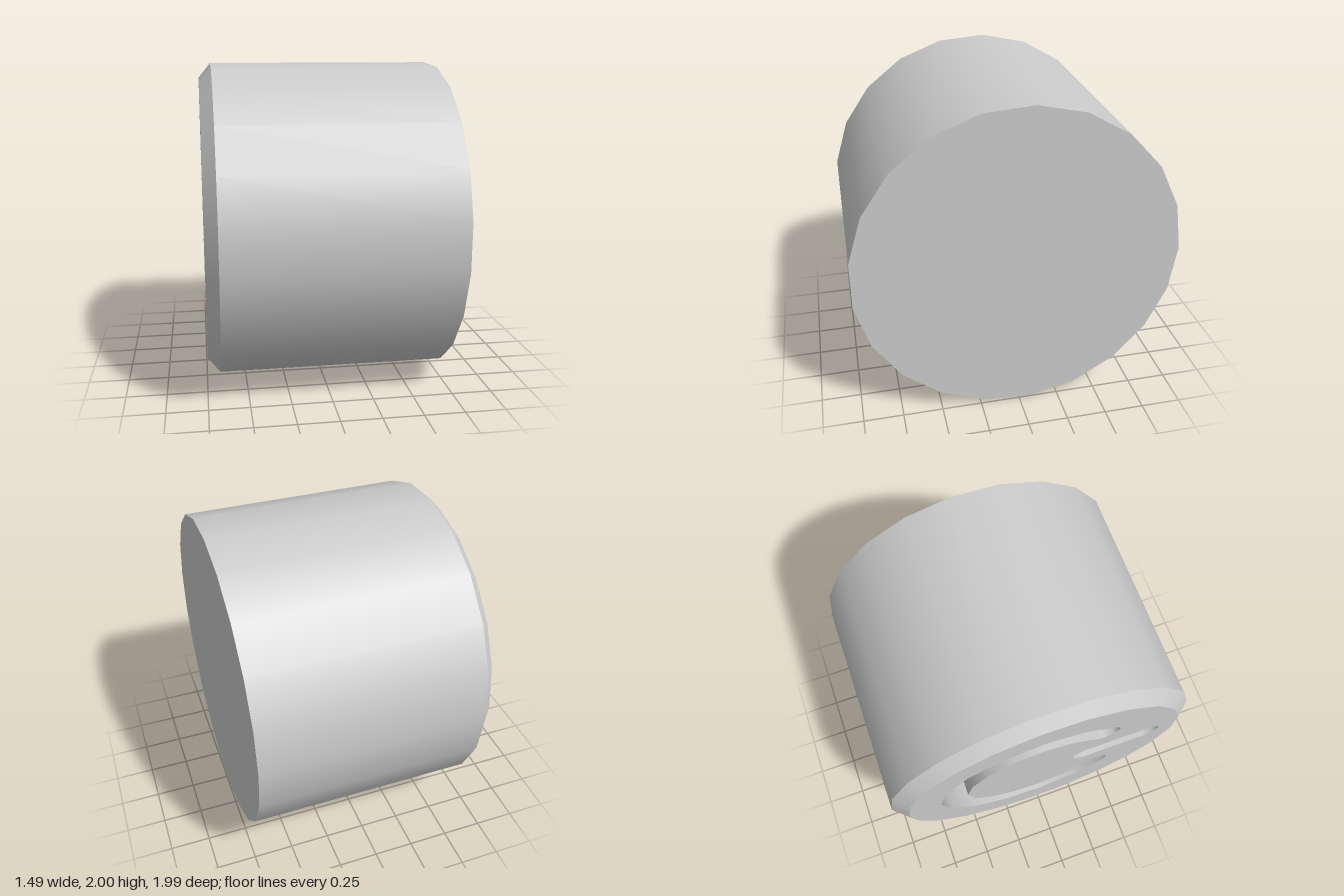
import * as THREE from 'three';
import { toCreasedNormals } from 'three/addons/utils/BufferGeometryUtils.js';

const SIDES = 21, R = 1.003, FACE_R = 0.912;
const BACK = -0.745, SHOULDER = 0.67, FRONT = 0.745, DEPTH = 0.25;

// Points along an arc, leaving out the last one so arcs can be chained
function arc(cx, cy, r, from, to, n) {
  return Array.from({ length: n }, (_, i) => {
    const a = from + (to - from) * i / n;
    return new THREE.Vector2(cx + r * Math.cos(a), cy + r * Math.sin(a));
  });
}

// Open ring with rounded ends
function ringOutline(cx, cy, r, half, gap) {
  const end = 2 * Math.PI - gap;
  const cap = (a, start) => arc(cx + r * Math.cos(a), cy + r * Math.sin(a), half, start, start + Math.PI, 4);
  return [
    ...arc(cx, cy, r + half, gap, end, 12), ...cap(end, end),
    ...arc(cx, cy, r - half, end, gap, 12), ...cap(gap, gap + Math.PI),
  ];
}

// Straight slot with rounded ends
function barOutline(x0, x1, y, half) {
  return [
    ...arc(x1, y, half, -Math.PI / 2, Math.PI / 2, 4), new THREE.Vector2(x1, y + half),
    ...arc(x0, y, half, Math.PI / 2, Math.PI * 1.5, 4), new THREE.Vector2(x0, y - half),
  ];
}

// Walls of a slot, facing into it
function slotWalls(points) {
  const pos = [];
  points.forEach((p, i) => {
    const q = points[(i + 1) % points.length], a = FRONT - DEPTH, b = FRONT;
    pos.push(p.x, p.y, a, p.x, p.y, b, q.x, q.y, b, p.x, p.y, a, q.x, q.y, b, q.x, q.y, a);
  });
  const geo = new THREE.BufferGeometry();
  geo.setAttribute('position', new THREE.Float32BufferAttribute(pos, 3));
  return toCreasedNormals(geo, 0.85);
}

// Open band of the drum between two stations on its axis
function band(r0, r1, z0, z1) {
  return new THREE.CylinderGeometry(r1, r0, z1 - z0, SIDES, 1, true, -Math.PI / 2)
    .rotateX(Math.PI / 2).translate(0, 0, (z0 + z1) / 2);
}

export function createModel() {
  const group = new THREE.Group();
  group.name = 'button';
  const drum = new THREE.Group();
  drum.name = 'drum';
  const material = new THREE.MeshStandardMaterial({ color: 0xcccccc });
  const add = (name, geometry) => {
    const mesh = new THREE.Mesh(geometry, material);
    mesh.name = name;
    drum.add(mesh);
  };

  // Body, chamfer and plain end
  add('side', band(R, R, BACK, SHOULDER));
  add('chamfer', band(R, FACE_R, SHOULDER, FRONT));
  add('plainEnd', new THREE.CircleGeometry(R, SIDES).rotateY(Math.PI).translate(0, 0, BACK));

  // Face with an open ring and a bar sunk into it
  const slots = {
    ring: ringOutline(-0.05, 0.02, 0.56, 0.09, THREE.MathUtils.degToRad(40)),
    bar: barOutline(0.27, 0.7, 0.02, 0.09),
  };
  const face = new THREE.Shape(arc(0, 0, FACE_R, Math.PI, 3 * Math.PI, SIDES));
  for (const [name, points] of Object.entries(slots)) {
    face.holes.push(new THREE.Path(points));
    add(name + 'Walls', slotWalls(points));
    add(name + 'Floor', new THREE.ShapeGeometry(new THREE.Shape(points)).translate(0, 0, FRONT - DEPTH));
  }
  add('face', new THREE.ShapeGeometry(face).translate(0, 0, FRONT));

  // Lay the drum with its face towards -x
  drum.rotation.y = -Math.PI / 2;
  drum.position.set(0, 1, 0.005);
  group.add(drum);
  return group;
}
